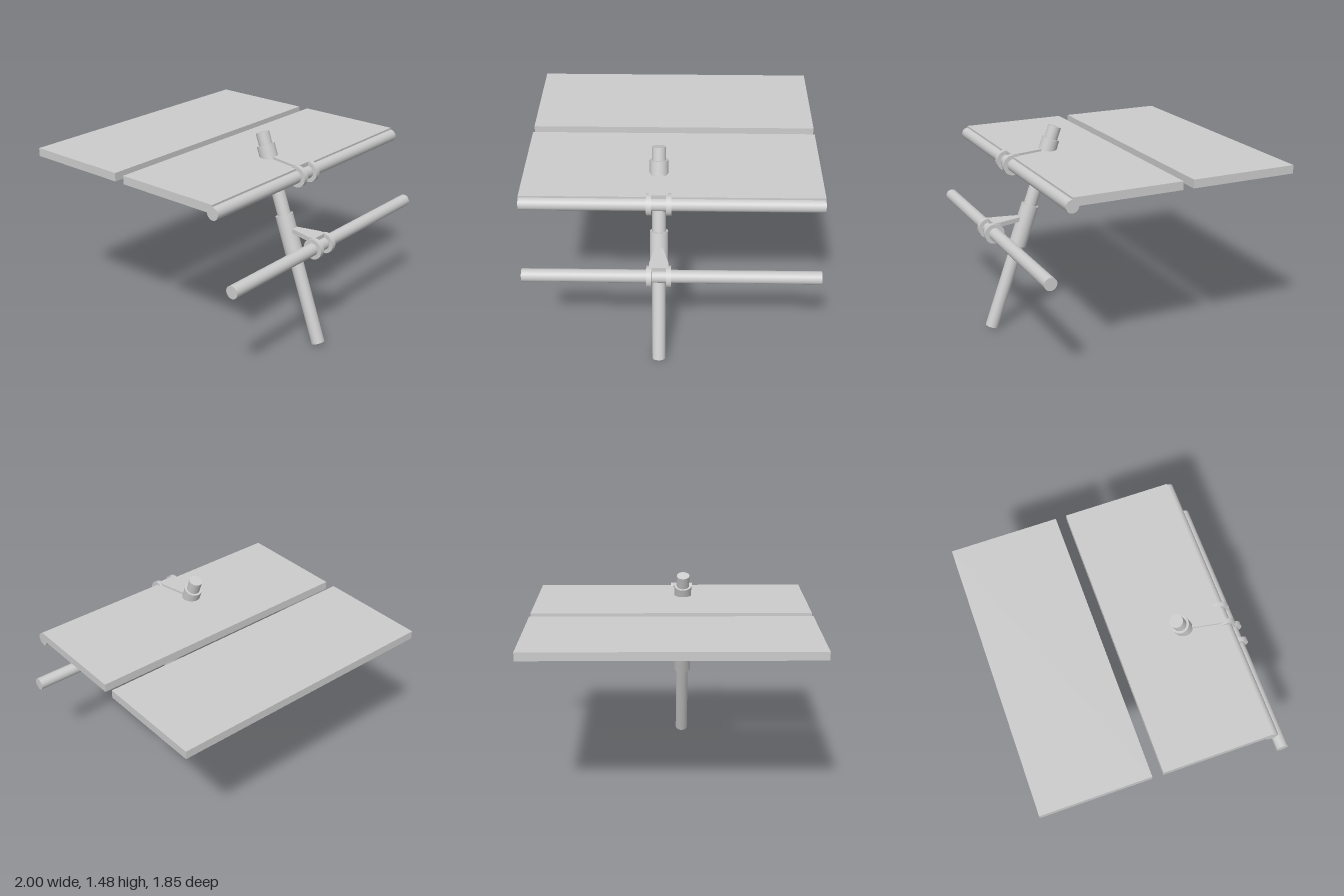
import * as THREE from 'three';

const material = new THREE.MeshStandardMaterial({ color: 0xcccccc });
const POLE_X = -0.09;
const SLOPE = Math.tan(THREE.MathUtils.degToRad(20));

// Point on the leaning pole's axis at height y
const onPole = (y) => new THREE.Vector3(POLE_X, y, 0.871 - (y - 0.016) * SLOPE);

function addMesh(parent, name, geometry) {
  const mesh = new THREE.Mesh(geometry, material);
  mesh.name = name;
  parent.add(mesh);
  return mesh;
}

// Cylinder running along the pole axis between two heights
function alongPole(parent, name, radius, y0, y1) {
  const a = onPole(y0), b = onPole(y1);
  const mesh = addMesh(parent, name, new THREE.CylinderGeometry(radius, radius, a.distanceTo(b), 48));
  mesh.position.copy(a).add(b).multiplyScalar(0.5);
  mesh.quaternion.setFromUnitVectors(new THREE.Vector3(0, 1, 0), b.sub(a).normalize());
}

// Cylinder running along x
function alongX(parent, name, radius, x0, x1, y, z) {
  const geometry = new THREE.CylinderGeometry(radius, radius, x1 - x0, 48).rotateZ(Math.PI / 2);
  addMesh(parent, name, geometry).position.set((x0 + x1) / 2, y, z);
}

// Sleeve on the pole, tapered arm and two rings that hold a cross rod
function addClamp(parent, name, y, z, sleeveLow, sleeveHigh) {
  const clamp = new THREE.Group();
  clamp.name = name;
  parent.add(clamp);
  alongPole(clamp, 'sleeve', 0.063, sleeveLow, sleeveHigh);
  alongX(clamp, 'rightRing', 0.072, -0.167, -0.133, y, z);
  alongX(clamp, 'leftRing', 0.072, -0.036, -0.002, y, z);

  // Arm outline in x and z, narrowing toward the pole
  const top = y + 0.073;
  const inner = onPole(top).z + 0.045;
  const arm = new THREE.Shape([
    [-0.15, z], [-0.15, z - 0.05], [-0.113, inner],
    [-0.067, inner], [-0.02, z - 0.05], [-0.02, z],
  ].map(([px, pz]) => new THREE.Vector2(px, pz)));
  const geometry = new THREE.ExtrudeGeometry(arm, { depth: 0.033, bevelEnabled: false });
  geometry.rotateX(Math.PI / 2);
  addMesh(clamp, 'arm', geometry).position.y = top;
}

export function createModel() {
  const model = new THREE.Group();
  model.name = 'poleMountedPanels';

  // Leaning pole
  alongPole(model, 'pole', 0.047, 0.016, 1.46);

  // Cross rods and their clamps
  alongX(model, 'lowerRod', 0.044, -1, 1, 0.757, 0.849);
  alongX(model, 'upperRod', 0.044, -1, 1, 1.239, 0.696);
  addClamp(model, 'lowerClamp', 0.757, 0.851, 0.617, 0.906);
  addClamp(model, 'upperClamp', 1.239, 0.698, 1.09, 1.375);

  // Flat panels with a gap between them
  for (const [name, z0, z1] of [['frontPanel', -0.078, 0.694], ['backPanel', -0.928, -0.155]]) {
    addMesh(model, name, new THREE.BoxGeometry(2, 0.059, z1 - z0)).position.set(0, 1.267, (z0 + z1) / 2);
  }

  return model;
}
